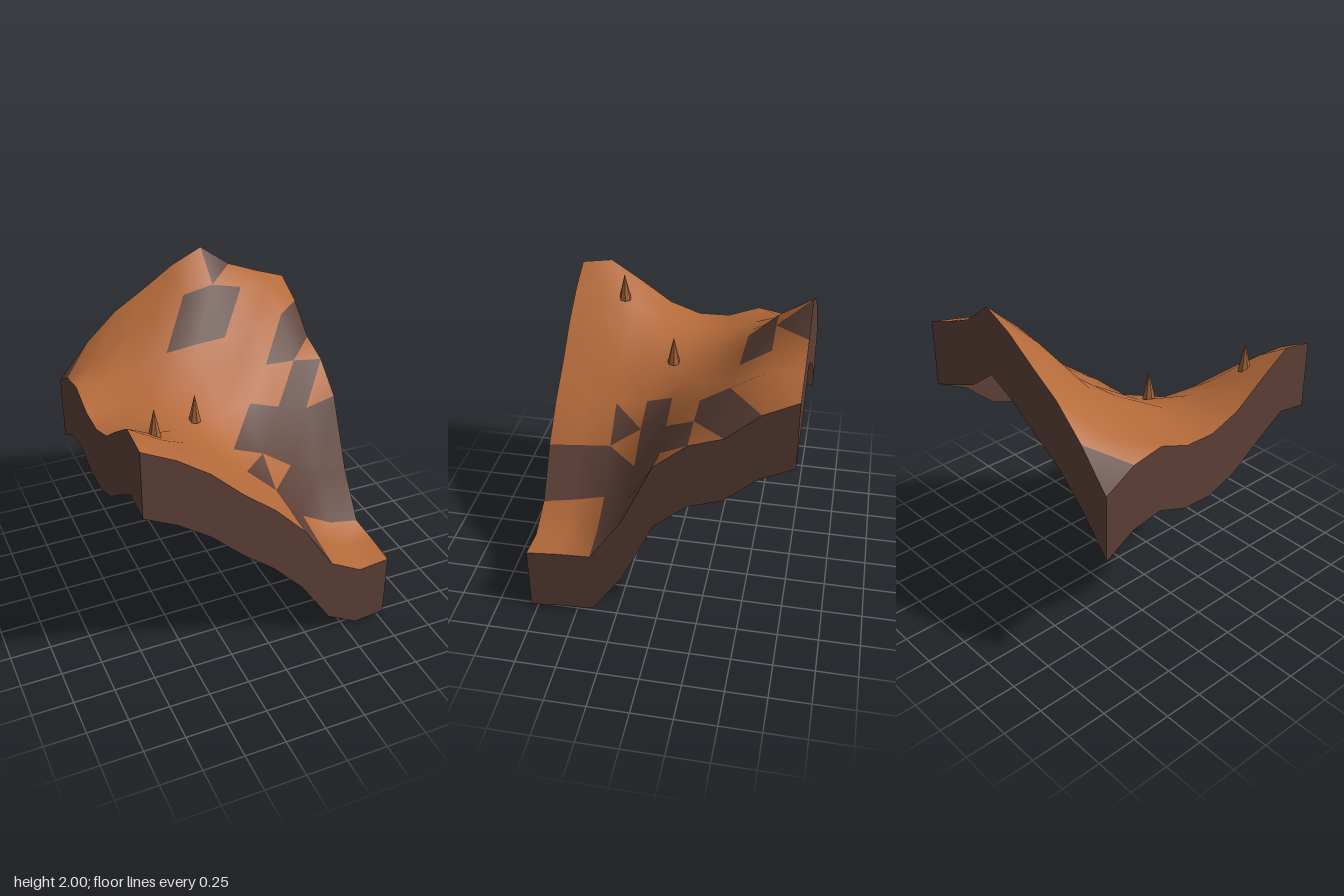
import * as THREE from 'three';

const N = 8, HALF = 0.787, STEP = (2 * HALF) / N, SKIRT = 0.42;
const STEEP = 1.16; // slope above which the ground is bare rock

// ground heights: rows run back to front, columns -x to +x
const HEIGHTS = [
  [1.25, 1.48, 1.66, 1.78, 1.91, 2.0, 1.855, 1.775, 1.705],
  [1.365, 1.44, 1.57, 1.66, 1.785, 1.82, 1.77, 1.75, 1.605],
  [1.4, 1.4, 1.45, 1.51, 1.53, 1.54, 1.57, 1.63, 1.43],
  [1.325, 1.32, 1.36, 1.39, 1.38, 1.4, 1.4, 1.39, 1.36],
  [1.32, 1.32, 1.32, 1.29, 1.25, 1.27, 1.2, 1.145, 1.19],
  [1.39, 1.37, 1.33, 1.24, 1.1, 1.02, 0.88, 0.78, 0.76],
  [1.53, 1.47, 1.36, 1.22, 1.06, 0.87, 0.62, 0.51, 0.47],
  [1.66, 1.54, 1.39, 1.21, 1.05, 0.85, 0.57, 0.46, 0.46],
  [1.63, 1.53, 1.39, 1.2, 1.04, 0.83, 0.53, 0.42, 0.44],
];

function material(name, color, side = THREE.DoubleSide) {
  const m = new THREE.MeshStandardMaterial({ color, side });
  m.name = name;
  return m;
}

const point = (i, j) => [-HALF + i * STEP, HEIGHTS[j][i], -HALF + j * STEP];

// smooth ground sheet, triangles sorted into soil and rock by slope
function groundGeometry() {
  const positions = [], soil = [], rock = [];
  for (let j = 0; j <= N; j++) for (let i = 0; i <= N; i++) positions.push(...point(i, j));
  const add = (tri, dx, dz) => (Math.hypot(dx, dz) / STEP > STEEP ? rock : soil).push(...tri);
  for (let j = 0; j < N; j++) {
    for (let i = 0; i < N; i++) {
      const a = j * (N + 1) + i, b = a + N + 1, c = b + 1, d = a + 1;
      const ha = HEIGHTS[j][i], hb = HEIGHTS[j + 1][i];
      const hc = HEIGHTS[j + 1][i + 1], hd = HEIGHTS[j][i + 1];
      add([a, b, d], hd - ha, hb - ha);
      add([b, c, d], hc - hb, hc - hd);
    }
  }
  const g = new THREE.BufferGeometry();
  g.setAttribute('position', new THREE.Float32BufferAttribute(positions, 3));
  g.setIndex([...soil, ...rock]);
  g.addGroup(0, soil.length, 0);
  g.addGroup(soil.length, rock.length, 1);
  g.computeVertexNormals();
  return g;
}

// one wall hanging down from an edge of the ground
function wallGeometry(edgePoint) {
  const positions = [], index = [];
  for (let k = 0; k <= N; k++) {
    const [x, y, z] = edgePoint(k);
    positions.push(x, y, z, x, y - SKIRT, z);
    if (k < N) {
      const t = 2 * k;
      index.push(t, t + 1, t + 2, t + 2, t + 1, t + 3);
    }
  }
  const g = new THREE.BufferGeometry();
  g.setAttribute('position', new THREE.Float32BufferAttribute(positions, 3));
  g.setIndex(index);
  g.computeVertexNormals();
  return g;
}

export function createModel() {
  const model = new THREE.Group();
  model.name = 'terrainTile';
  const soil = material('orange soil', 0xb46a3a);
  const rock = material('brown rock', 0x5d4037);
  const spikeMat = material('spike brown', 0xa0623a, THREE.FrontSide);

  const ground = new THREE.Mesh(groundGeometry(), [soil, rock]);
  ground.name = 'ground';
  model.add(ground);

  // walls run counter-clockwise seen from above, so they face outwards
  const edges = {
    frontWall: (k) => point(k, N),
    leftWall: (k) => point(N, N - k),
    backWall: (k) => point(N - k, 0),
    rightWall: (k) => point(0, k),
  };
  for (const [name, edge] of Object.entries(edges)) {
    const wall = new THREE.Mesh(wallGeometry(edge), rock);
    wall.name = name;
    model.add(wall);
  }

  // small rock spikes
  const cone = new THREE.ConeGeometry(0.04, 0.178, 7).toNonIndexed();
  cone.computeVertexNormals();
  for (const [x, y, z] of [[-0.197, 1.277, 0.065], [-0.59, 1.485, 0.46]]) {
    const spike = new THREE.Mesh(cone, spikeMat);
    spike.name = 'spike';
    spike.position.set(x, y + 0.089, z);
    model.add(spike);
  }
  return model;
}
